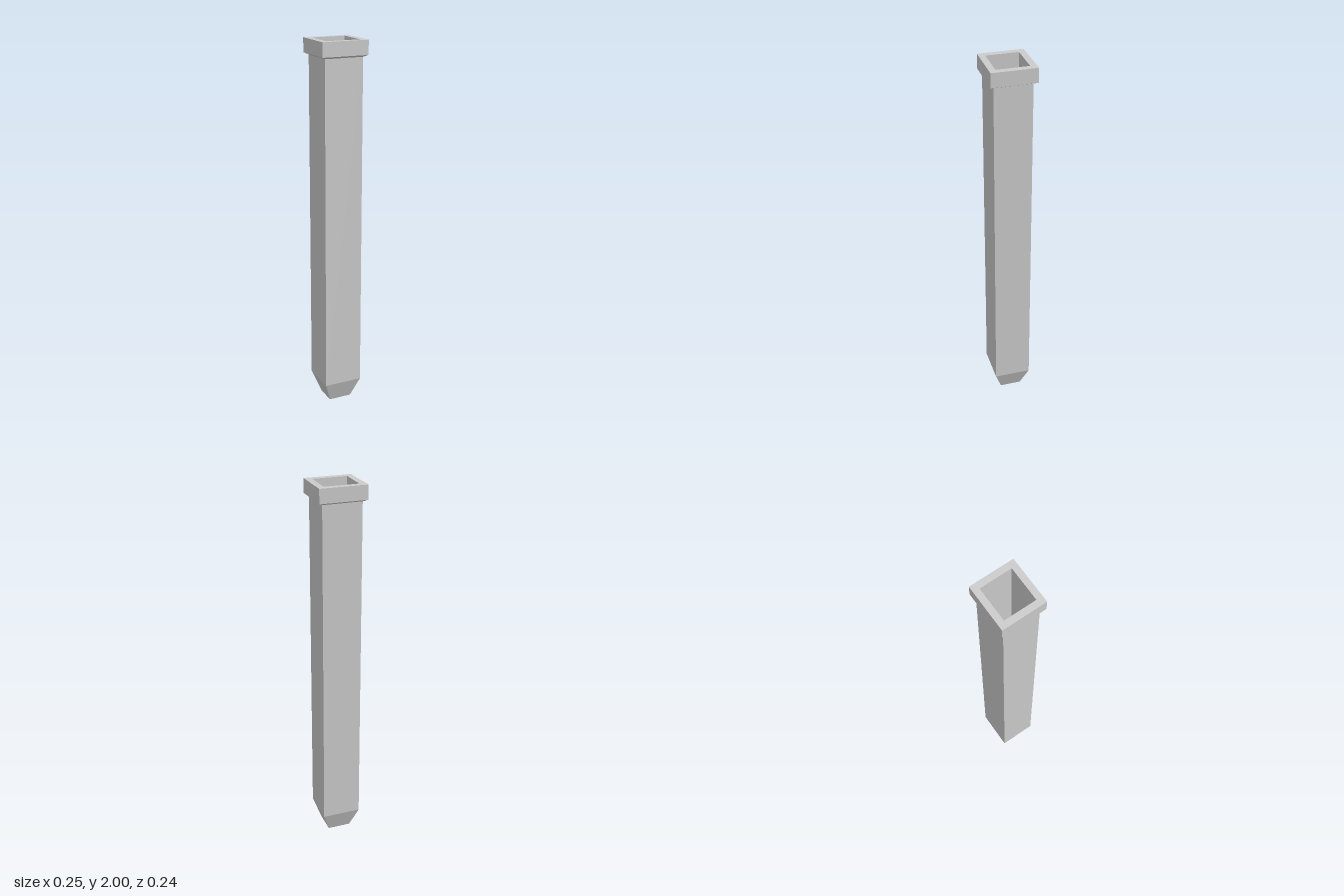
import * as THREE from 'three';

const material = new THREE.MeshStandardMaterial({ color: 0xcccccc, flatShading: true });

// Joins rectangular sections [halfX, y, halfZ] with flat walls, with optional caps at either end
function rectLoft(name, sections, { startCap = false, endCap = false } = {}) {
  const loops = sections.map(([x, y, z]) => [
    [x, y, z], [x, y, -z], [-x, y, -z], [-x, y, z],
  ]);
  const positions = [];
  const quad = (a, b, c, d) => positions.push(...a, ...b, ...c, ...a, ...c, ...d);

  for (let s = 0; s < loops.length - 1; s++) {
    for (let i = 0; i < 4; i++) {
      const j = (i + 1) % 4;
      quad(loops[s][i], loops[s][j], loops[s + 1][j], loops[s + 1][i]);
    }
  }
  if (startCap) quad(...[...loops[0]].reverse());
  if (endCap) quad(...loops[loops.length - 1]);

  const geometry = new THREE.BufferGeometry();
  geometry.setAttribute('position', new THREE.Float32BufferAttribute(positions, 3));
  geometry.computeVertexNormals();
  const mesh = new THREE.Mesh(geometry, material);
  mesh.name = name;
  return mesh;
}

export function createModel() {
  const group = new THREE.Group();
  group.name = 'hollowPost';

  const foot = [0.063, 0, 0.058];
  const shaftBottom = [0.105, 0.115, 0.099];
  const shaftTop = [0.105, 1.915, 0.099];
  const mouth = [0.092, 2, 0.085];

  group.add(
    // Closed, tapered foot
    rectLoft('taperedFoot', [foot, shaftBottom], { startCap: true }),
    // Long straight shaft
    rectLoft('shaft', [shaftBottom, shaftTop]),
    // Collar with a slightly sloped underside and a flat rim
    rectLoft('collar', [shaftTop, [0.126, 1.925, 0.118], [0.126, 2, 0.118], mouth]),
    // Inner walls running down to a flat floor
    rectLoft('hollow', [mouth, [0.092, 0.115, 0.085]], { endCap: true }),
  );
  return group;
}
